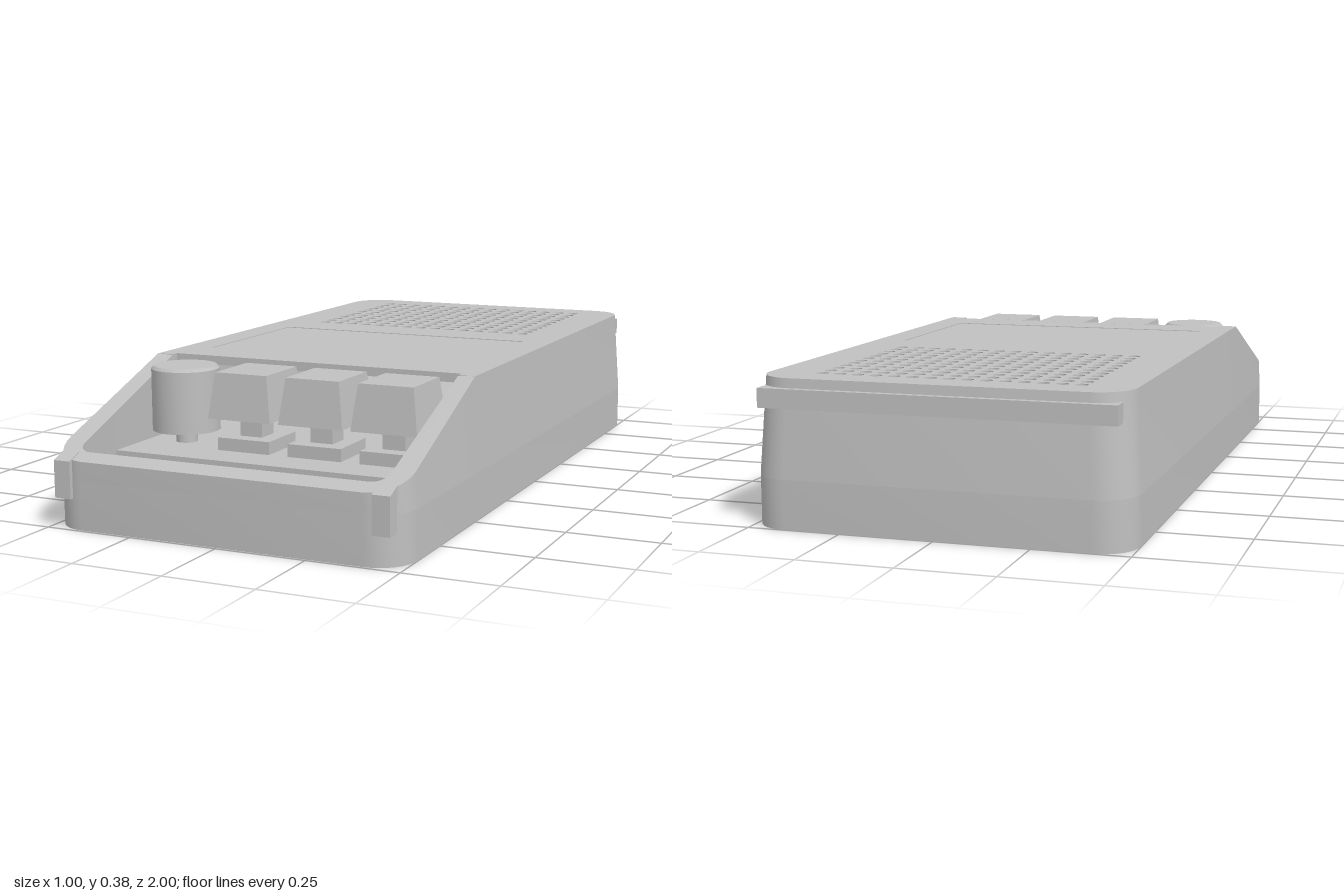
import * as THREE from 'three';
import { toCreasedNormals } from 'three/addons/utils/BufferGeometryUtils.js';

const TOP = 0.385, SEAM = 0.13, BEND = 0.47;
const slope = z => TOP - 0.387 * Math.max(0, z - BEND);

// Rounded outline as [x, z] points: bend point, rear corners, bend point, front corners
function outline(hx, back, front, r, n = 8) {
  const pts = [[hx, BEND]];
  const corner = (cx, cz, a0) => {
    for (let i = 0; i <= n; i++) {
      const a = a0 - (i / n) * Math.PI / 2;
      pts.push([cx + r * Math.cos(a), cz + r * Math.sin(a)]);
    }
  };
  corner(hx - r, back + r, 0);
  corner(-hx + r, back + r, -Math.PI / 2);
  pts.push([-hx, BEND]);
  corner(-hx + r, front - r, Math.PI);
  corner(hx - r, front - r, Math.PI / 2);
  pts.push([hx, BEND]);
  return pts;
}

// Skin between successive rows of [x, y, z] points
function skin(rows) {
  const w = rows[0].length, index = [];
  for (let j = 0; j < rows.length - 1; j++) {
    for (let i = 0; i < w - 1; i++) {
      const a = j * w + i, b = a + w;
      index.push(a, b, a + 1, a + 1, b, b + 1);
    }
  }
  const geo = new THREE.BufferGeometry();
  geo.setAttribute('position', new THREE.Float32BufferAttribute(rows.flat(2), 3));
  geo.setIndex(index);
  return toCreasedNormals(geo, 0.5);
}

const toShape = pts => new THREE.Shape(pts.map(([x, z]) => new THREE.Vector2(x, -z)));
const rect = (x0, x1, z0, z1) => [[x0, z0], [x1, z0], [x1, z1], [x0, z1]];

// Box tapering towards its top
function frustum(w, d, h, topW, topD) {
  const geo = new THREE.BoxGeometry(w, h, d);
  const p = geo.attributes.position;
  for (let i = 0; i < p.count; i++) {
    if (p.getY(i) > 0) p.setXYZ(i, p.getX(i) * topW / w, p.getY(i), p.getZ(i) * topD / d);
  }
  geo.computeVertexNormals();
  return geo;
}

export function createModel() {
  const model = new THREE.Group();
  const grey = new THREE.MeshStandardMaterial({ color: 0xc0c0c0, side: THREE.DoubleSide });
  grey.name = 'grey plastic';

  const add = (name, geo, x = 0, y = 0, z = 0) => {
    const mesh = new THREE.Mesh(geo, grey);
    mesh.name = name;
    mesh.position.set(x, y, z);
    model.add(mesh);
    return mesh;
  };
  // Box given by its extents
  const block = (name, x0, x1, y0, y1, z0, z1) =>
    add(name, new THREE.BoxGeometry(x1 - x0, y1 - y0, z1 - z0), (x0 + x1) / 2, (y0 + y1) / 2, (z0 + z1) / 2);

  // Case walls: straight base, tapered cover, sloping front
  const outer = outline(0.5, -1, 0.993, 0.1);
  const inner = outline(0.437, -0.93, 0.95, 0.04);
  const base = outer.map(([x, z]) => [x, 0, z]);
  const seam = outer.map(([x, z]) => [x, SEAM, z]);
  const crest = outer.map(([x, z]) => {
    const y = slope(z), t = (y - SEAM) / (TOP - SEAM);
    return [x * (1 - 0.03 * t), y, z < 0 ? z * (1 - 0.02 * t) : z];
  });
  const innerCrest = inner.map(([x, z]) => [x, Math.min(TOP - 0.002, slope(z)), z]);
  const innerBase = inner.map(([x, z]) => [x, 0, z]);
  add('baseWall', skin([base, seam]));
  add('coverWall', skin([seam, crest]));
  add('innerWall', skin([innerCrest, innerBase]));

  // Sloping rim around the control bay
  const bend = 19;
  add('frontRim', skin([crest.slice(bend), innerCrest.slice(bend)]));

  // Top panel with control bay notch, screen recess and speaker holes
  const top = toShape([...crest.slice(0, bend + 1).map(([x, , z]) => [x, z]),
    [-0.437, BEND], [-0.437, 0.445], [0.437, 0.445], [0.437, BEND]]);
  top.holes.push(toShape(rect(-0.4, 0.4, -0.18, 0.31)));
  for (let i = 0; i < 15; i++) {
    for (let j = 0; j < 12; j++) {
      const hole = new THREE.Path();
      hole.absarc(-0.343 + i * 0.049, 0.873 - j * 0.049, 0.016, 0, Math.PI * 2, true);
      top.holes.push(hole);
    }
  }
  const topGeo = new THREE.ExtrudeGeometry(top, { depth: 0.025, bevelEnabled: false, curveSegments: 12 });
  add('topPanel', topGeo.rotateX(-Math.PI / 2), 0, TOP - 0.025, 0);
  block('screen', -0.4, 0.4, 0.365, 0.383, -0.18, 0.31);
  block('speakerBacking', -0.4, 0.4, 0.352, 0.36, -0.91, -0.29);

  // Underside with front slot
  const under = toShape(outer.slice(0, -1));
  under.holes.push(toShape(rect(-0.435, 0.435, 0.77, 0.95)));
  add('underside', new THREE.ShapeGeometry(under).rotateX(Math.PI / 2).scale(1, 1, -1));

  // Control shelf and slot bar
  block('shelf', -0.436, 0.436, 0.145, 0.165, -0.92, 0.77);
  block('slotBar', -0.436, 0.436, 0.04, 0.06, 0.814, 0.826);

  // Keys on switch housings
  for (const x of [-0.107, 0.105, 0.315]) {
    block('switchHousing', x - 0.078, x + 0.078, 0.165, 0.2, 0.5, 0.656);
    block('switchStem', x - 0.033, x + 0.033, 0.2, 0.26, 0.545, 0.611);
    add('key', frustum(0.187, 0.205, 0.125, 0.155, 0.175), x, 0.3175, 0.5775);
  }

  // Knob
  const knob = [[0, 0.2], [0.094, 0.2], [0.094, 0.372], [0.087, 0.38], [0, 0.381]];
  const knobGeo = new THREE.LatheGeometry(knob.map(p => new THREE.Vector2(...p)), 40);
  add('knob', toCreasedNormals(knobGeo, 0.5), -0.325, 0, 0.585);
  add('knobShaft', new THREE.CylinderGeometry(0.03, 0.03, 0.04, 20), -0.325, 0.182, 0.585);

  // Front corner tabs, their tops following the slope
  for (const side of [-1, 1]) {
    const tab = new THREE.Shape([[0.955, 0.08], [1, 0.08], [1, slope(1)], [0.955, slope(0.955)]]
      .map(([z, y]) => new THREE.Vector2(-z, y)));
    const geo = new THREE.ExtrudeGeometry(tab, { depth: 0.048, bevelEnabled: false });
    add('frontTab', geo.rotateY(Math.PI / 2), side * 0.45 - 0.024, 0.002, 0);
  }

  // Rear rail
  block('rearRail', -0.465, 0.465, 0.31, 0.36, -1, -0.95);
  return model;
}
